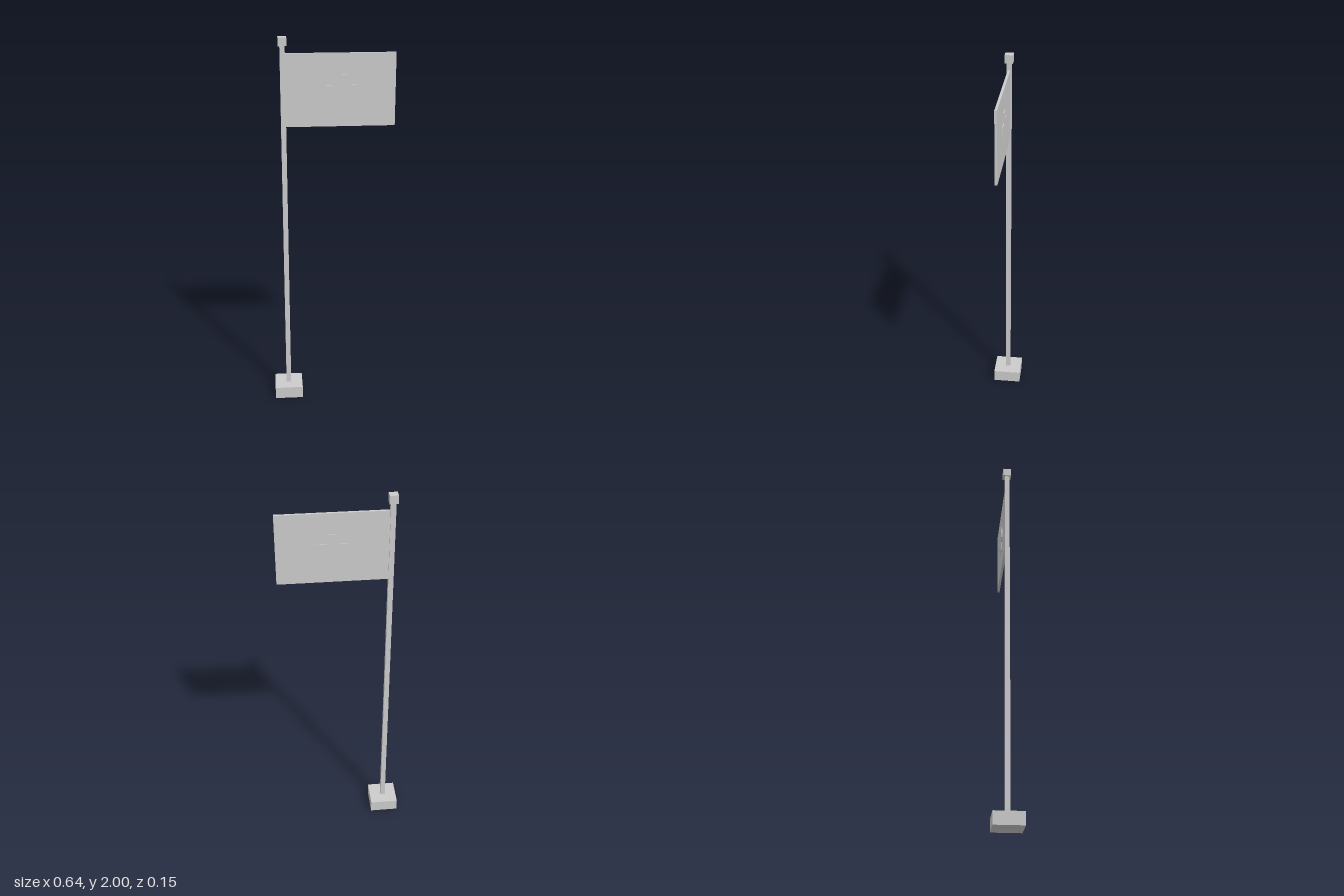
import * as THREE from 'three';

export function createModel() {
  const model = new THREE.Group();
  model.name = 'flagpole';
  const material = new THREE.MeshStandardMaterial({ color: 0xcccccc, flatShading: true });

  const add = (name, geometry, x, y, z = 0) => {
    const mesh = new THREE.Mesh(geometry, material);
    mesh.name = name;
    mesh.position.set(x, y, z);
    model.add(mesh);
  };

  // Square base, pole and cap share one axis
  const poleX = -0.245;
  add('base', new THREE.BoxGeometry(0.152, 0.066, 0.152), poleX, 0.033);
  add('pole', new THREE.BoxGeometry(0.026, 1.891, 0.026), poleX, 1.0115);
  add('cap', new THREE.BoxGeometry(0.043, 0.043, 0.043), poleX, 1.9785);

  // Flag panel, attached at the side of the pole
  add('flag', new THREE.BoxGeometry(0.553, 0.371, 0.013), 0.0445, 1.733);

  // Raised cross standing proud of both faces of the flag
  const arm = 0.077, half = 0.026, depth = 0.021;
  const outline = [
    [half, -arm], [half, -half], [arm, -half], [arm, half], [half, half], [half, arm],
    [-half, arm], [-half, half], [-arm, half], [-arm, -half], [-half, -half], [-half, -arm],
  ];
  const cross = new THREE.Shape(outline.map(([x, y]) => new THREE.Vector2(x, y)));
  const crossGeometry = new THREE.ExtrudeGeometry(cross, { depth, bevelEnabled: false });
  add('flagCross', crossGeometry, 0.046, 1.733, -depth / 2);

  return model;
}
